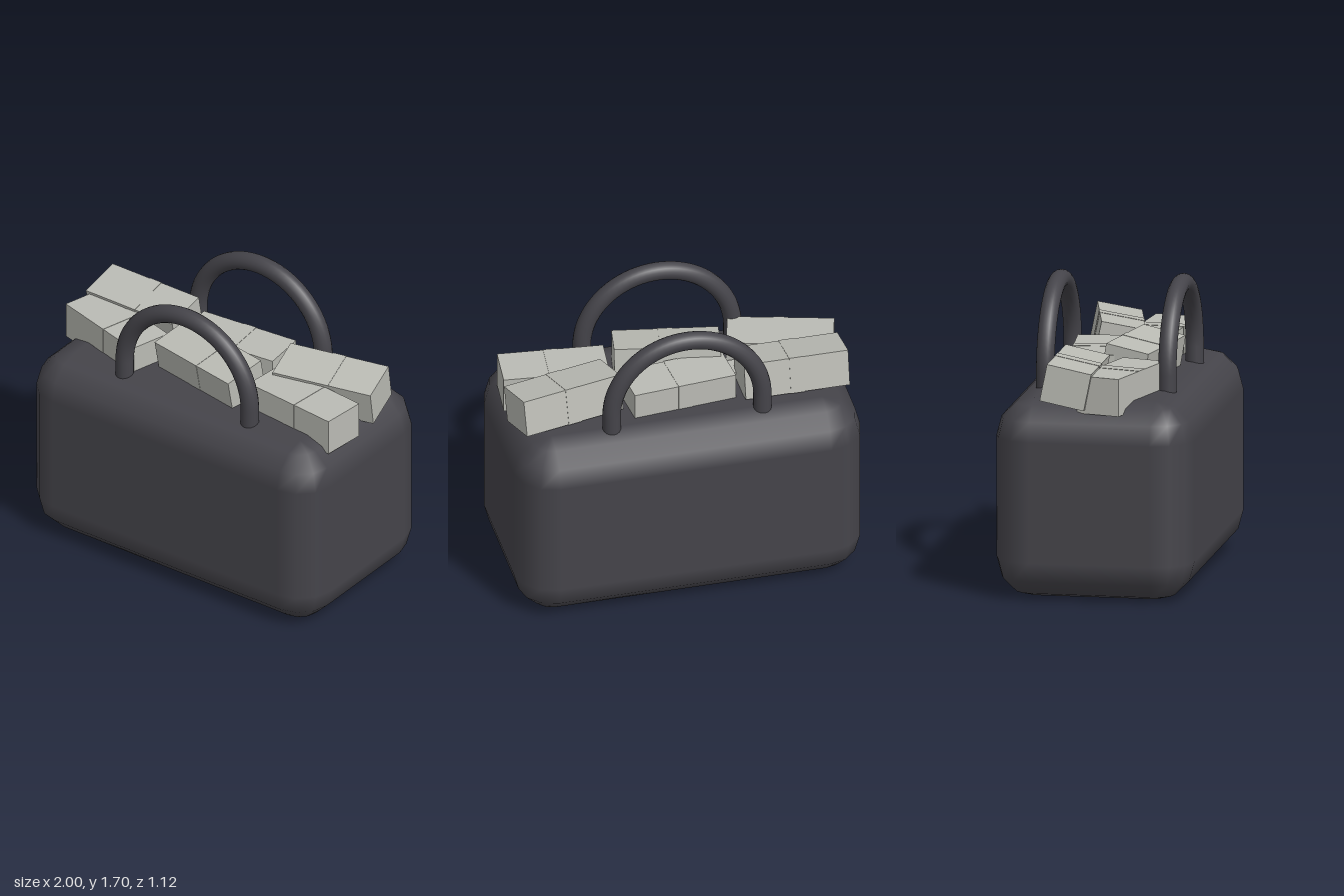
import * as THREE from 'three';

const fabric = new THREE.MeshStandardMaterial({ color: 0x45444a });
fabric.name = 'charcoal fabric';
const paper = new THREE.MeshStandardMaterial({ color: 0xbabbb4 });
paper.name = 'pale paper';

function addMesh(parent, name, geometry, material, x = 0, y = 0, z = 0) {
  const mesh = new THREE.Mesh(geometry, material);
  mesh.name = name;
  mesh.position.set(x, y, z);
  parent.add(mesh);
  return mesh;
}

// Box whose edges and corners are quarter arcs of `steps` segments, smooth shaded
function bevelledBox(w, h, d, r, steps) {
  const lat = [];
  const lon = [];
  const quarter = Math.PI / 2;
  for (const side of [-1, 1]) {
    for (let i = 0; i <= steps; i++) {
      lat.push({ a: (side < 0 ? -quarter : 0) + (i / steps) * quarter, sy: side });
    }
  }
  const signs = [[1, 1], [-1, 1], [-1, -1], [1, -1]];
  signs.forEach(([sx, sz], q) => {
    for (let i = 0; i <= steps; i++) lon.push({ a: (q + i / steps) * quarter, sx, sz });
  });
  const pos = [];
  const nor = [];
  const idx = [];
  for (const { a, sy } of lat) {
    for (const { a: b, sx, sz } of lon) {
      const n = [Math.cos(a) * Math.cos(b), Math.sin(a), Math.cos(a) * Math.sin(b)];
      nor.push(...n);
      pos.push(sx * (w / 2 - r) + n[0] * r, sy * (h / 2 - r) + n[1] * r, sz * (d / 2 - r) + n[2] * r);
    }
  }
  const cols = lon.length;
  for (let i = 0; i < lat.length - 1; i++) {
    for (let j = 0; j < cols; j++) {
      const k = (j + 1) % cols;
      const a = i * cols + j, b = i * cols + k, c = a + cols, e = b + cols;
      idx.push(a, c, b, b, c, e);
    }
  }
  // Flat bottom and top
  const s = steps + 1;
  const t = (lat.length - 1) * cols;
  idx.push(0, s, 2 * s, 0, 2 * s, 3 * s);
  idx.push(t, t + 2 * s, t + s, t, t + 3 * s, t + 2 * s);
  const geo = new THREE.BufferGeometry();
  geo.setAttribute('position', new THREE.Float32BufferAttribute(pos, 3));
  geo.setAttribute('normal', new THREE.Float32BufferAttribute(nor, 3));
  geo.setIndex(idx);
  return geo;
}

// Arched carry handle with short straight legs
function addHandle(parent, name, z) {
  const R = 0.435, r = 0.052, legTop = 1.215, legBottom = 1.11;
  const handle = new THREE.Group();
  handle.name = name;
  handle.position.z = z;
  addMesh(handle, 'handleArch', new THREE.TorusGeometry(R, r, 16, 40, Math.PI), fabric, 0, legTop, 0);
  for (const side of [-1, 1]) {
    const leg = new THREE.CylinderGeometry(r, r, legTop - legBottom, 16);
    addMesh(handle, 'handleLeg', leg, fabric, side * R, (legTop + legBottom) / 2, 0);
  }
  parent.add(handle);
}

// Paper bundle with a thin wrapping band around its middle
function addBundle(parent, x, y, z, yaw, tilt) {
  const bundle = new THREE.Group();
  bundle.name = 'paperBundle';
  bundle.position.set(x, y, z);
  bundle.rotation.set(tilt, yaw, 0, 'YXZ');
  addMesh(bundle, 'paperStack', new THREE.BoxGeometry(0.6, 0.213, 0.256), paper);
  addMesh(bundle, 'bundleBand', new THREE.BoxGeometry(0.08, 0.217, 0.26), paper);
  parent.add(bundle);
}

export function createModel() {
  const model = new THREE.Group();
  model.name = 'duffelBag';

  addMesh(model, 'bagBody', bevelledBox(2, 1.13, 1.125, 0.22, 3), fabric, 0, 0.565, 0);
  addHandle(model, 'frontHandle', 0.347);
  addHandle(model, 'backHandle', -0.347);

  // x, y, z, yaw, tilt of each bundle
  const bundles = [
    [-0.655, 1.222, -0.14, 0, 0.2],
    [0, 1.178, -0.135, 0.095, 0],
    [0.657, 1.222, -0.128, 0.215, 0.2],
    [-0.655, 1.178, 0.122, -0.27, 0],
    [0, 1.222, 0.13, -0.18, 0.18],
    [0.652, 1.178, 0.13, -0.1, 0],
  ];
  bundles.forEach((b) => addBundle(model, ...b));

  // Bundle lying underneath, seen through the gaps
  addMesh(model, 'lowerBundle', new THREE.BoxGeometry(0.82, 0.14, 0.125), paper, 0, 1.105, 0);

  return model;
}
